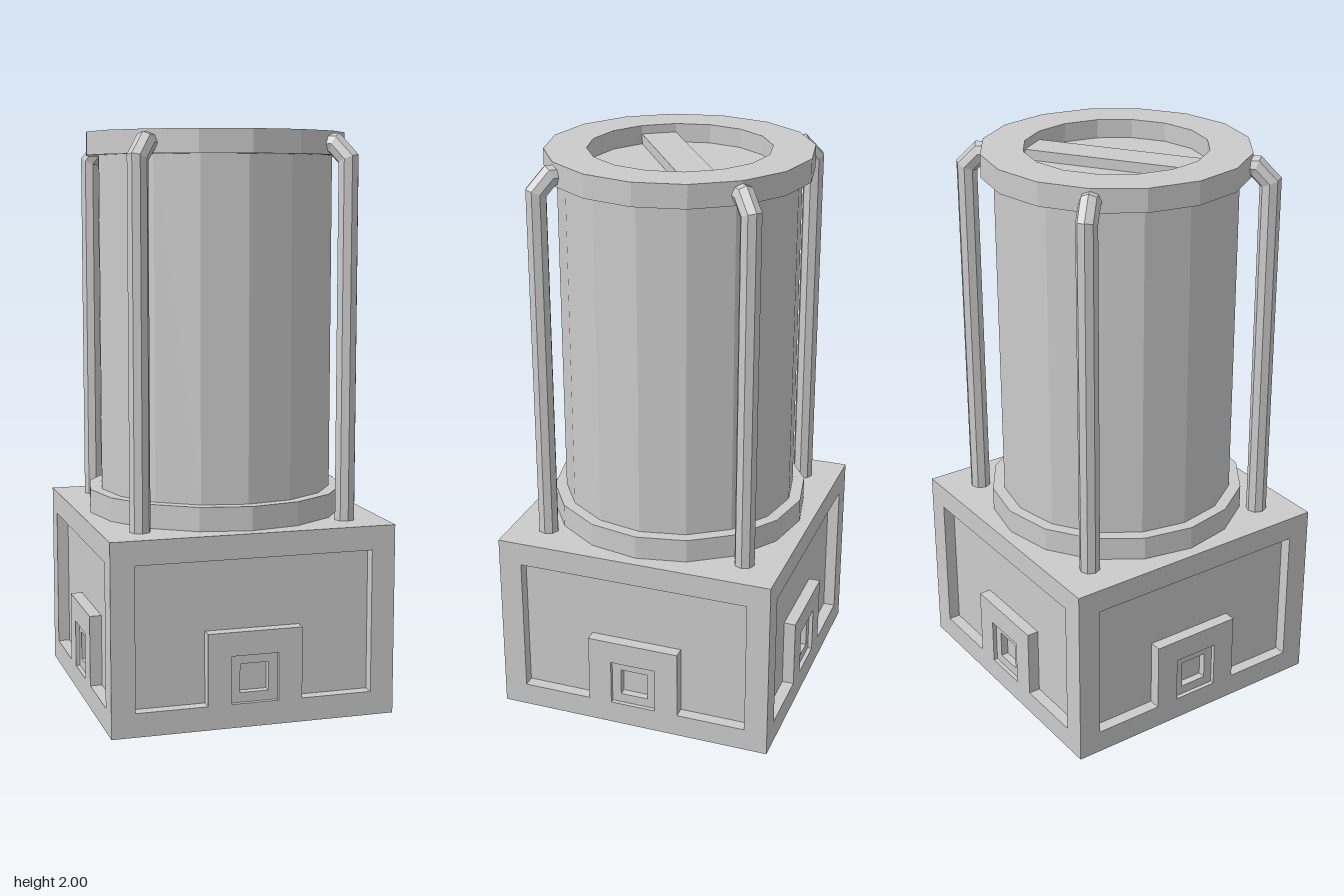
import * as THREE from 'three';

const material = new THREE.MeshStandardMaterial({ color: 0xcccccc, flatShading: true });

function add(parent, name, geometry) {
  const mesh = new THREE.Mesh(geometry, material);
  mesh.name = name;
  parent.add(mesh);
  return mesh;
}

const toPoints = (list) => list.map(([x, y]) => new THREE.Vector2(x, y));
const rect = (w, y0, y1) => toPoints([[-w, y0], [w, y0], [w, y1], [-w, y1]]);

// Flat plate with holes, its outer face at z = front
function plate(outline, holes, depth, front) {
  const shape = new THREE.Shape(outline);
  shape.holes = holes.map((h) => new THREE.Path(h));
  const g = new THREE.ExtrudeGeometry(shape, { depth, bevelEnabled: false });
  return g.translate(0, 0, front - depth);
}

// Octagonal rod swept along a path in the x-y plane with mitred bends
function rodGeometry(path, radius, sides = 8) {
  const positions = [];
  const index = [];
  path.forEach((p, i) => {
    const before = p.clone().sub(path[Math.max(i - 1, 0)]).normalize();
    const after = path[Math.min(i + 1, path.length - 1)].clone().sub(p).normalize();
    const tangent = before.clone().add(after).normalize();
    const normal = new THREE.Vector2(tangent.y, -tangent.x);
    const bend = i > 0 && i < path.length - 1 ? tangent.dot(after) : 1;
    for (let k = 0; k < sides; k++) {
      const a = (k / sides) * Math.PI * 2;
      const n = (Math.cos(a) * radius) / bend;
      positions.push(p.x + normal.x * n, p.y + normal.y * n, Math.sin(a) * radius);
    }
  });
  for (let i = 0; i < path.length - 1; i++) {
    for (let k = 0; k < sides; k++) {
      const a = i * sides + k;
      const b = i * sides + ((k + 1) % sides);
      index.push(a, a + sides, b, b, a + sides, b + sides);
    }
  }
  const g = new THREE.BufferGeometry();
  g.setAttribute('position', new THREE.Float32BufferAttribute(positions, 3));
  g.setIndex(index);
  g.computeVertexNormals();
  return g;
}

export function createModel() {
  const model = new THREE.Group();
  model.name = 'canisterOnBase';
  const baseTop = 0.667;
  const inset = 0.042;

  // Square base: solid core with a framed panel on each side
  const core = new THREE.BoxGeometry(1 - 2 * inset, baseTop, 1 - 2 * inset);
  add(model, 'baseCore', core.translate(0, baseTop / 2, 0));

  const recess = toPoints([
    [-0.417, 0.083], [-0.167, 0.083], [-0.167, 0.333], [0.167, 0.333],
    [0.167, 0.083], [0.417, 0.083], [0.417, 0.583], [-0.417, 0.583],
  ]);
  const socket = rect(0.083, 0.083, 0.25);
  const frame = plate(rect(0.5, 0, baseTop), [recess, socket], inset, 0.5);
  const socketStep = plate(socket, [rect(0.05, 0.117, 0.217)], inset - 0.015, 0.485);
  for (let i = 0; i < 4; i++) {
    const side = new THREE.Group();
    side.name = 'baseSide';
    side.rotation.y = (i * Math.PI) / 2;
    add(side, 'panelFrame', frame);
    add(side, 'socketStep', socketStep);
    model.add(side);
  }

  // Sixteen-sided canister with foot ring, top rim and sunken lid
  const floor = 1.935;
  const profile = toPoints([
    [0.457, baseTop], [0.457, 0.75], [0.415, 0.75], [0.415, 1.92],
    [0.457, 1.92], [0.457, 2], [0.313, 2], [0.313, floor], [0, floor],
  ]);
  add(model, 'canister', new THREE.LatheGeometry(profile, 16));

  // Diagonal grip bar across the lid
  const corners = [9, 10, 17, 18].map((k) => {
    const a = (-k * Math.PI) / 8;
    return new THREE.Vector2(Math.cos(a) * 0.313, Math.sin(a) * 0.313);
  });
  const bar = new THREE.ExtrudeGeometry(new THREE.Shape(corners), {
    depth: 0.035, bevelEnabled: false,
  });
  add(model, 'lidBar', bar.rotateX(Math.PI / 2).translate(0, floor + 0.035, 0));

  // Four corner rods bending into the rim
  const path = toPoints([[0.517, baseTop], [0.517, 1.905], [0.468, 1.955], [0.42, 1.955]]);
  const rod = rodGeometry(path, 0.036);
  for (let i = 0; i < 4; i++) {
    add(model, 'cornerRod', rod).rotation.y = Math.PI / 4 + (i * Math.PI) / 2;
  }
  return model;
}
